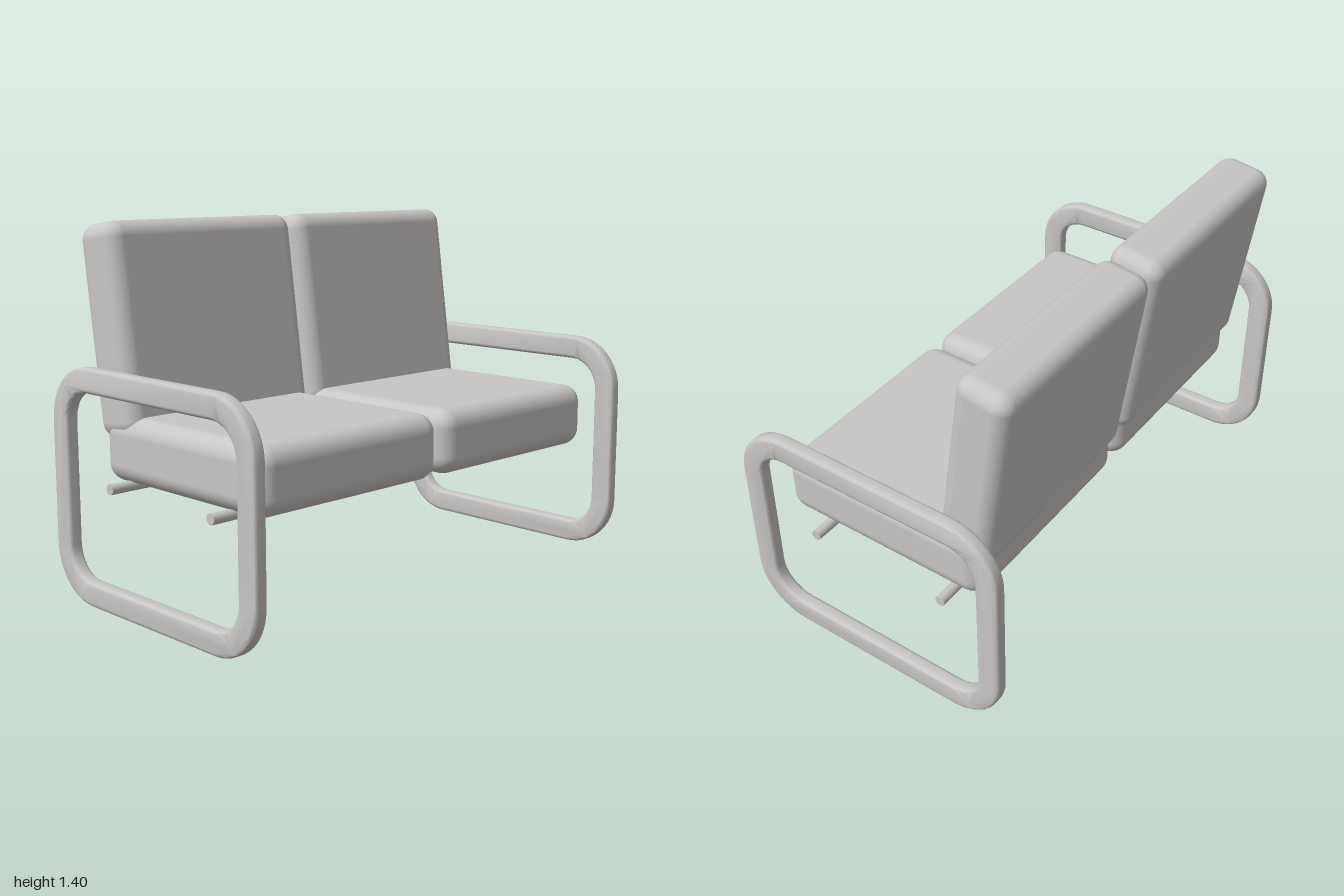
import * as THREE from 'three';
import { toCreasedNormals } from 'three/addons/utils/BufferGeometryUtils.js';
import { RoundedBoxGeometry } from 'three/addons/geometries/RoundedBoxGeometry.js';

// Rounded rectangle centred on the origin
function roundedRect(path, w, h, r) {
  const x = w / 2, y = h / 2;
  path.moveTo(x, -y + r);
  path.lineTo(x, y - r);
  path.absarc(x - r, y - r, r, 0, Math.PI / 2);
  path.lineTo(-x + r, y);
  path.absarc(-x + r, y - r, r, Math.PI / 2, Math.PI);
  path.lineTo(-x, -y + r);
  path.absarc(-x + r, -y + r, r, Math.PI, Math.PI * 1.5);
  path.lineTo(x - r, -y);
  path.absarc(x - r, -y + r, r, Math.PI * 1.5, Math.PI * 2);
  return path;
}

export function createModel() {
  const group = new THREE.Group();
  const grey = new THREE.MeshStandardMaterial({ color: 0xc8c6c4 });
  grey.name = 'light grey';

  const add = (name, geometry, x, y, z) => {
    const mesh = new THREE.Mesh(geometry, grey);
    mesh.name = name;
    mesh.position.set(x, y, z);
    group.add(mesh);
    return mesh;
  };

  // Side loop: a flat band with softened edges, serving as leg and armrest
  const thickness = 0.055, bevel = 0.014;
  const outline = roundedRect(new THREE.Shape(), 1.13, 0.885, 0.21);
  outline.holes.push(roundedRect(new THREE.Path(), 0.95, 0.7, 0.12));
  const loop = new THREE.ExtrudeGeometry(outline, {
    depth: thickness - 2 * bevel,
    curveSegments: 6,
    bevelThickness: bevel,
    bevelSize: bevel,
    bevelOffset: -bevel,
    bevelSegments: 3,
  });
  loop.translate(0, 0, bevel - thickness / 2);
  loop.rotateY(Math.PI / 2);
  const loopGeometry = toCreasedNormals(loop, 0.8);

  const seat = new RoundedBoxGeometry(0.88, 0.25, 0.88, 4, 0.07);
  const back = new RoundedBoxGeometry(0.88, 0.785, 0.216, 4, 0.06);

  for (const [side, s] of [['left', 1], ['right', -1]]) {
    add(side + 'SideFrame', loopGeometry, s * (1 - thickness / 2), 0.4425, 0);
    add(side + 'SeatCushion', seat, s * 0.45, 0.575, 0.03);
    // Back cushion leans backwards
    add(side + 'BackCushion', back, s * 0.45, 1.003, -0.38).rotation.x = -0.14;
  }

  // Cross rods under the seat
  const rod = new THREE.CylinderGeometry(0.02, 0.02, 1.9, 16);
  rod.rotateZ(Math.PI / 2);
  add('frontRod', rod, 0, 0.445, 0.285);
  add('rearRod', rod, 0, 0.445, -0.285);

  return group;
}
